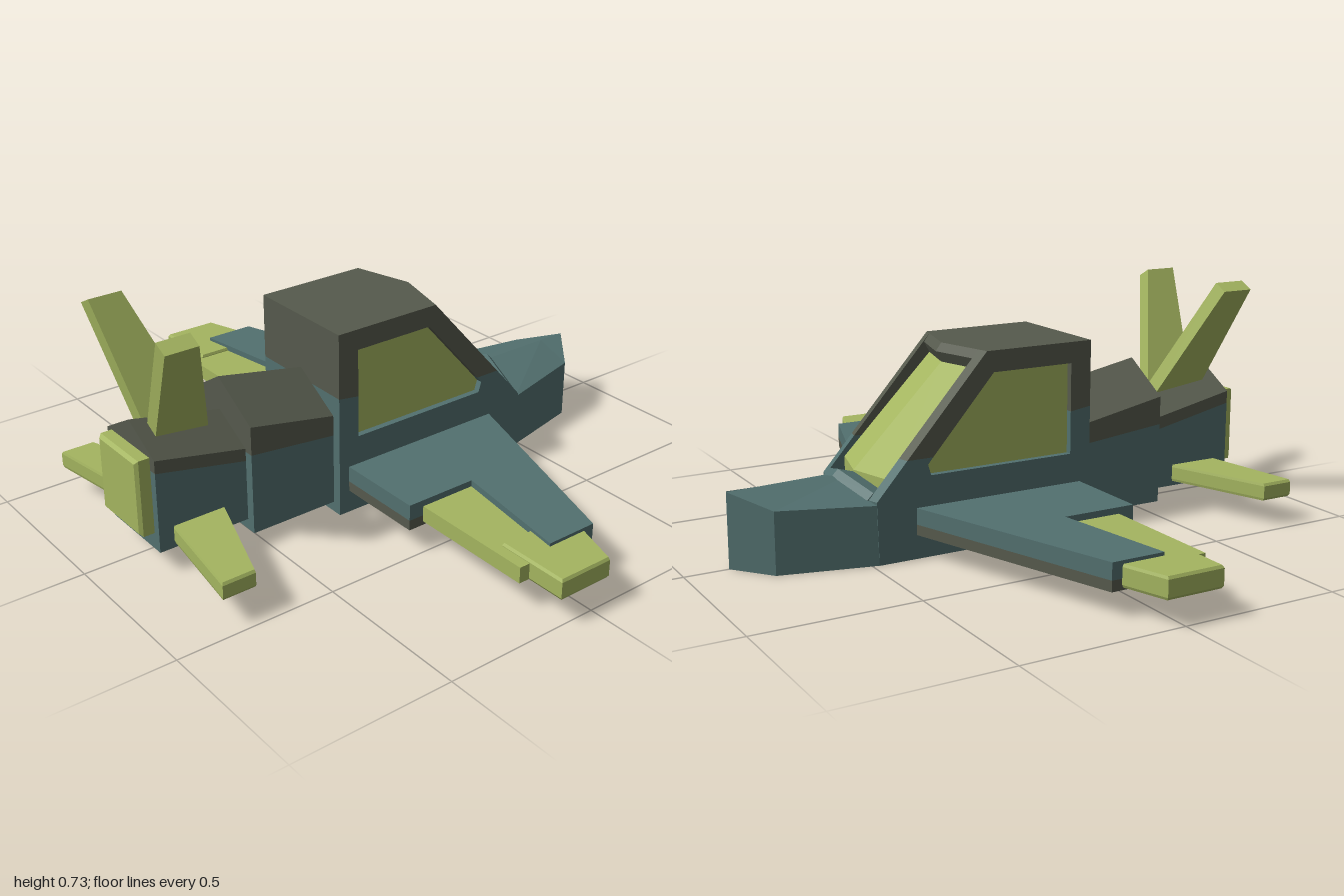
import * as THREE from 'three';

const teal = new THREE.MeshStandardMaterial({ color: 0x52706f, name: 'teal' });
const grey = new THREE.MeshStandardMaterial({ color: 0x565a4d, name: 'darkGrey' });
const lime = new THREE.MeshStandardMaterial({ color: 0xa4b560, name: 'lime' });

// Faceted solid: a 2D contour swept through stations; place(point, station) gives [x, y, z]
function solid(name, material, contour, stations, place) {
  const rings = stations.map((s) => contour.map((p) => place(p, s)));
  const n = contour.length, last = rings.length - 1, tris = [];
  for (let r = 0; r < last; r++) {
    for (let i = 0; i < n; i++) {
      const j = (i + 1) % n, a = rings[r], b = rings[r + 1];
      tris.push([a[i], a[j], b[j]], [a[i], b[j], b[i]]);
    }
  }
  const flat = contour.map((p) => new THREE.Vector2(p[0], p[1]));
  const ccw = !THREE.ShapeUtils.isClockWise(flat);
  for (const f of THREE.ShapeUtils.triangulateShape(flat, [])) {
    // orient each cap triangle to agree with the walls
    const [a, b, c] = f.map((k) => flat[k]);
    const positive = (b.x - a.x) * (c.y - a.y) - (b.y - a.y) * (c.x - a.x) > 0;
    const [i, j, k] = positive === ccw ? f : [f[0], f[2], f[1]];
    tris.push([rings[0][k], rings[0][j], rings[0][i]], [rings[last][i], rings[last][j], rings[last][k]]);
  }
  // turn the whole solid outwards if its volume is negative
  const v = (p) => new THREE.Vector3(...p);
  let volume = 0;
  for (const [a, b, c] of tris) volume += v(a).dot(v(b).cross(v(c)));
  const pos = tris.flatMap(([a, b, c]) => (volume > 0 ? [a, b, c] : [a, c, b]).flat());
  const geo = new THREE.BufferGeometry();
  geo.setAttribute('position', new THREE.Float32BufferAttribute(pos, 3));
  geo.computeVertexNormals();
  const mesh = new THREE.Mesh(geo, material);
  mesh.name = name;
  return mesh;
}

// Horizontal plate from an (x, z) outline, with optional chamfer on its rims
function plate(name, material, outline, y0, y1, side, chamfer = 0) {
  const cx = outline.reduce((t, p) => t + p[0], 0) / outline.length;
  const cz = outline.reduce((t, p) => t + p[1], 0) / outline.length;
  const levels = chamfer
    ? [[y0, 1 - chamfer], [y0 + 0.008, 1], [y1 - 0.008, 1], [y1, 1 - chamfer]]
    : [[y0, 1], [y1, 1]];
  return solid(name, material, outline, levels, (p, [y, k]) =>
    [cx + (p[0] - cx) * k, y, side * (cz + (p[1] - cz) * k)]);
}

// Points flagged 1 bulge forward at the centre line, giving the windscreen its V
const HALF = 0.19;
const vee = (p, z) => [p[0] + (p[2] || 0) * 0.05 * (1 - Math.abs(z) / HALF), p[1], z];

function addCabin(g) {
  const inner = [-0.155, 0, 0.155];
  g.add(solid('cabinFloor', teal, [[-0.24, 0], [0.48, 0], [0.48, 0.18], [-0.24, 0.18]], inner, vee));
  g.add(solid('cabinBackLower', teal, [[-0.24, 0.18], [-0.18, 0.18], [-0.18, 0.39], [-0.24, 0.39]], inner, vee));
  g.add(solid('cabinBackUpper', grey, [[-0.24, 0.39], [-0.18, 0.39], [-0.18, 0.56], [-0.24, 0.56]], inner, vee));
  g.add(solid('cabinRoof', grey, [[-0.24, 0.53], [0.12, 0.53, 1], [0.142, 0.57, 1], [0.123, 0.595, 1], [-0.24, 0.595]], inner, vee));

  // glass core seen through the side openings and the windscreen frame
  g.add(solid('windows', lime,
    [[-0.2, 0.15], [0.42, 0.15, 1], [0.42, 0.24, 1], [0.12, 0.54, 1], [-0.2, 0.54]], [-0.17, 0, 0.17], vee));

  // windscreen sill follows the ridge of the nose
  g.add(solid('windscreenSill', teal,
    [[0.3, 0.1, 1], [0.3, 0.23, 1], [0.42, 0.235, 1], [0.47, 0.25, 1], [0.49, 0.23, 1], [0.49, 0.1, 1]], inner,
    (p, z) => { const q = vee(p, z); return [q[0], q[1] - 0.05 * Math.abs(z) / HALF, z]; }));

  // side walls framing the windows
  const lower = [[-0.24, 0], [0.48, 0], [0.485, 0.19, 1], [0.387, 0.3, 1], [0.303, 0.3], [0.32, 0.28],
    [0.31, 0.247], [-0.17, 0.247], [-0.17, 0.38], [-0.24, 0.39]];
  const upper = [[-0.24, 0.39], [-0.17, 0.38], [-0.17, 0.53], [0.1, 0.53], [0.303, 0.3],
    [0.387, 0.3, 1], [0.123, 0.595, 1], [-0.24, 0.595]];
  for (const s of [1, -1]) {
    g.add(solid('cabinWallLower', teal, lower, [s * 0.155, s * HALF], vee));
    g.add(solid('cabinWallUpper', grey, upper, [s * 0.155, s * HALF], vee));
  }
}

// Nose: ridged section narrowing to a vertical edge; stations are [x, half width, shoulder height]
function addNose(g) {
  g.add(solid('nose', teal, [[-1, 0], [1, 0], [1, 1], [0, 2], [-1, 1]],
    [[0.475, 0.19, 0.18], [0.77, 0.12, 0.19], [0.865, 0.001, 0.23]],
    (p, [x, w, h]) => [x, p[1] === 2 ? 0.232 : p[1] * h, p[0] * w]));
}

// Tail section with a sloping gabled roof; the rear stands higher than the front
function addTailSection(g, name, x0, x1, y0, half, band, shoulder, rise) {
  const zs = [-half, 0, half];
  const gable = (p, z) => [p[0], p[1] + (p[2] || 0) * (1 - Math.abs(z) / half), z];
  g.add(solid(name + 'Lower', teal, [[x0, y0], [x1, y0], [x1, band[1]], [x0, band[0]]], zs, gable));
  g.add(solid(name + 'Roof', grey,
    [[x0, band[0]], [x1, band[1]], [x1, shoulder[1], rise], [x0, shoulder[0], rise]], zs, gable));
}

function addWing(g, s) {
  const outline = [[-0.205, 0.17], [-0.205, 0.475], [0.03, 0.475], [-0.03, 0.862], [0.137, 0.862], [0.365, 0.17]];
  g.add(plate('wingTop', teal, outline, 0.105, 0.155, s));
  g.add(plate('wingUnderside', grey, outline, 0.073, 0.105, s));
  g.add(plate('flap', lime, [[-0.155, 0.47], [-0.155, 0.877], [0, 0.877], [0.04, 0.47]], 0.085, 0.135, s));
  g.add(plate('wingTip', lime, [[-0.12, 0.768], [-0.12, 1], [0.06, 1], [0.125, 0.8], [0.12, 0.768]], 0.08, 0.145, s, 0.04));
}

function addTailFins(g, s) {
  g.add(plate('tailplane', lime, [[-0.77, 0.08], [-0.825, 0.455], [-0.72, 0.455], [-0.59, 0.08]], 0.082, 0.137, s, 0.03));
  // fin leaning outwards: contour is (x, distance along the lean)
  g.add(solid('tailFin', lime, [[-0.765, 0], [-0.825, 0.445], [-0.72, 0.445], [-0.582, 0]], [-0.025, 0.025],
    (p, t) => [p[0], 0.33 + p[1] * 0.88 - t * 0.46, s * (p[1] * 0.46 + t * 0.88)]));
}

export function createModel() {
  const g = new THREE.Group();
  g.name = 'aircraft';
  addCabin(g);
  addNose(g);
  addTailSection(g, 'midTail', -0.53, -0.24, 0.033, 0.16, [0.29, 0.26], [0.38, 0.325], 0.1);
  addTailSection(g, 'rearTail', -0.825, -0.53, 0.067, 0.13, [0.32, 0.26], [0.36, 0.3], 0.075);

  // engine outlet block, chamfered on its rear face
  g.add(solid('engineOutlet', lime, [[-1, -1], [1, -1], [1, 1], [-1, 1]],
    [[-0.82, 1], [-0.86, 1], [-0.87, 0.92]],
    (p, [x, k]) => [x, 0.24 + p[1] * 0.12 * k, p[0] * 0.105 * k]));

  for (const s of [1, -1]) {
    addWing(g, s);
    addTailFins(g, s);
  }
  return g;
}
